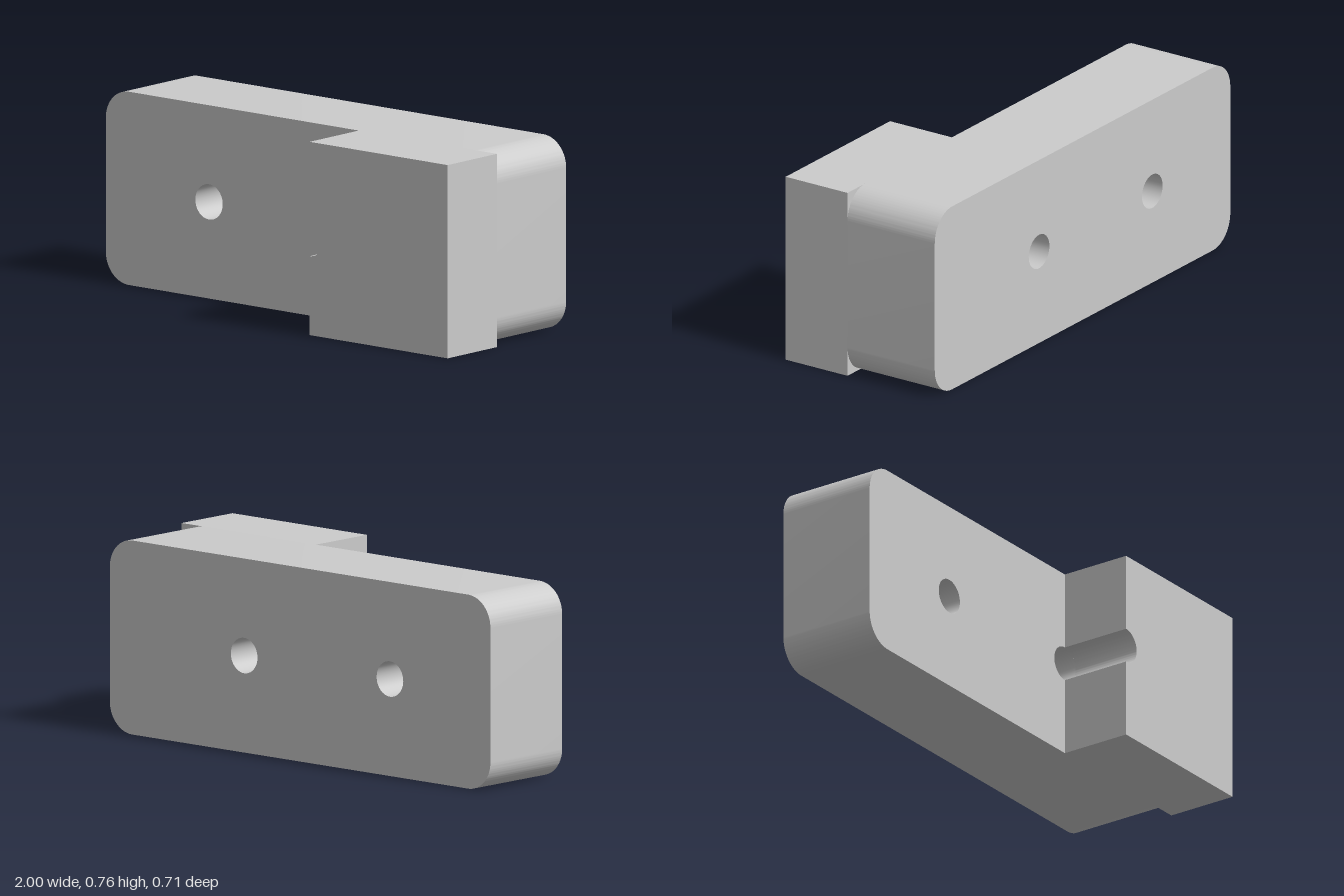
import * as THREE from 'three';
import { toCreasedNormals } from 'three/addons/utils/BufferGeometryUtils.js';

const H = 0.765, MID = H / 2, HOLE_R = 0.07, CORNER_R = 0.118;
const BACK = -0.353, STEP = 0.06, FRONT = 0.353;
const HOLE_X = -0.472, BLOCK_X = 0.294;

export function createModel() {
  const group = new THREE.Group();
  const material = new THREE.MeshStandardMaterial({ color: 0xcccccc });

  // Extrudes an outline from z0 to z1, smooth on curves and sharp on edges
  const addSlab = (name, shape, z0, z1) => {
    const flat = new THREE.ExtrudeGeometry(shape, {
      depth: z1 - z0, bevelEnabled: false, curveSegments: 20,
    });
    flat.translate(0, 0, z0);
    const mesh = new THREE.Mesh(toCreasedNormals(flat, Math.PI / 6), material);
    mesh.name = name;
    group.add(mesh);
  };

  // Rounded back plate with two through holes
  const r = CORNER_R;
  const plate = new THREE.Shape();
  plate.moveTo(-1 + r, 0);
  plate.absarc(1 - r, r, r, -Math.PI / 2, 0);
  plate.absarc(1 - r, H - r, r, 0, Math.PI / 2);
  plate.absarc(-1 + r, H - r, r, Math.PI / 2, Math.PI);
  plate.absarc(-1 + r, r, r, Math.PI, Math.PI * 1.5);
  for (const x of [HOLE_X, BLOCK_X]) {
    plate.holes.push(new THREE.Path().absarc(x, MID, HOLE_R, 0, Math.PI * 2, true));
  }
  addSlab('plate', plate, BACK, STEP);

  // Square-cornered front block, its inner side notched by half of a hole
  const block = new THREE.Shape();
  block.moveTo(BLOCK_X, 0);
  block.lineTo(1, 0);
  block.lineTo(1, H);
  block.lineTo(BLOCK_X, H);
  block.absarc(BLOCK_X, MID, HOLE_R, Math.PI / 2, -Math.PI / 2, true);
  block.lineTo(BLOCK_X, 0);
  addSlab('frontBlock', block, STEP, FRONT);

  return group;
}
